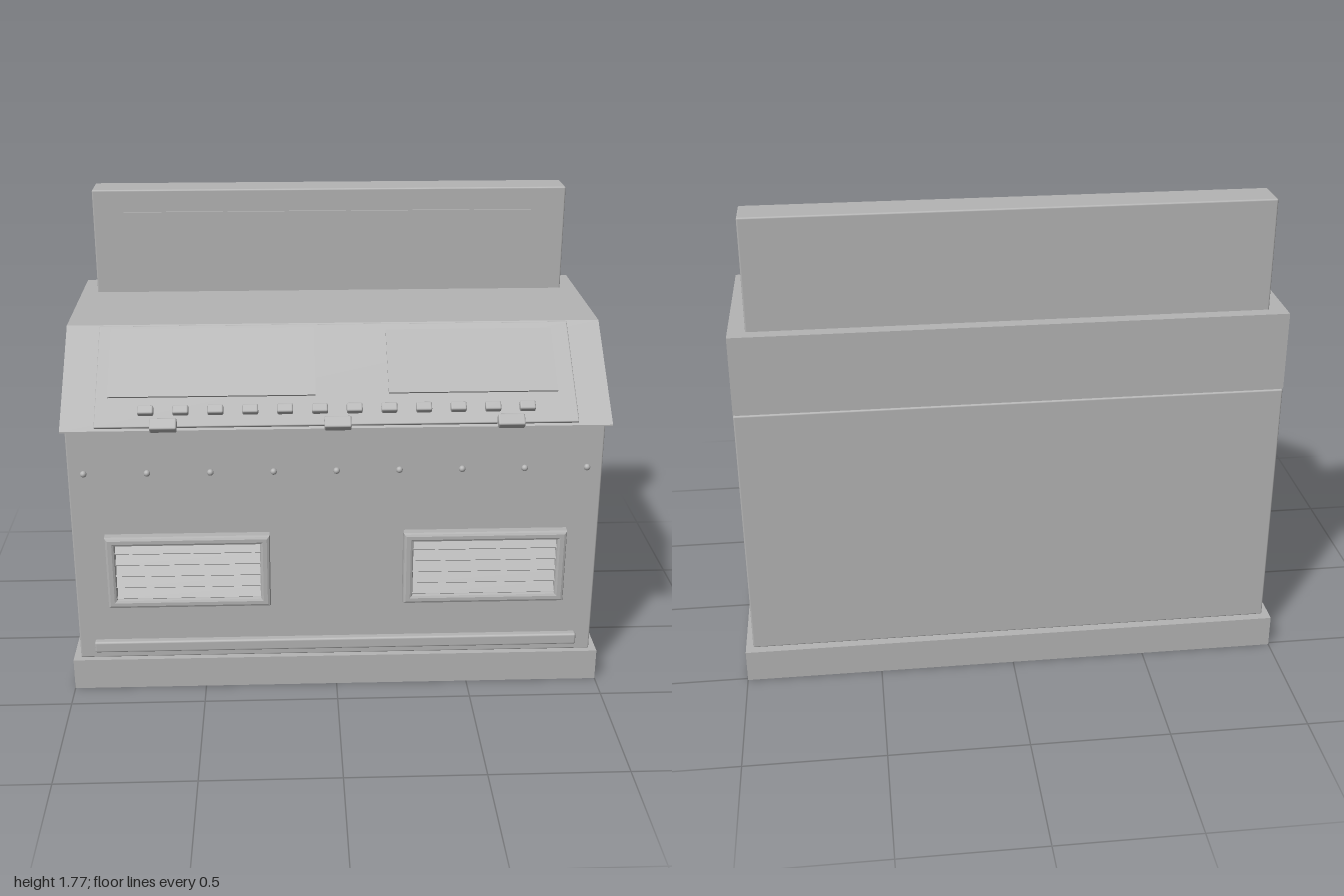
import * as THREE from 'three';
import { RoundedBoxGeometry } from 'three/addons/geometries/RoundedBoxGeometry.js';

export function createModel() {
  const root = new THREE.Group();
  root.name = 'controlConsole';
  const grey = new THREE.MeshStandardMaterial({ color: 0xb4b4b4, side: THREE.DoubleSide });
  grey.name = 'grey';

  const add = (geo, name, parent, x = 0, y = 0, z = 0) => {
    const mesh = new THREE.Mesh(geo, grey);
    mesh.name = name;
    mesh.position.set(x, y, z);
    parent.add(mesh);
    return mesh;
  };
  // Box given by its limits; r rounds the edges
  const box = (name, parent, x0, x1, y0, y1, z0, z1, r = 0) => {
    const s = [x1 - x0, y1 - y0, z1 - z0];
    const geo = r ? new RoundedBoxGeometry(...s, 2, r) : new THREE.BoxGeometry(...s);
    return add(geo, name, parent, (x0 + x1) / 2, (y0 + y1) / 2, (z0 + z1) / 2);
  };

  // Plinth: a shell that is open underneath
  const plinth = box('plinth', root, -1, 1, 0, 0.122, -0.51, 0.39);
  const index = Array.from(plinth.geometry.index.array);
  index.splice(18, 6);
  plinth.geometry.setIndex(index);
  plinth.geometry.clearGroups();

  // Cabinet with its lower trim and a row of bolts
  box('cabinet', root, -0.973, 0.973, 0.122, 1.08, -0.48, 0.37, 0.006);
  box('lowerTrim', root, -0.915, 0.915, 0.155, 0.2, 0.36, 0.395, 0.008);
  const boltGeo = new THREE.SphereGeometry(0.012, 12, 8);
  for (let i = 0; i < 9; i++) add(boltGeo, 'bolt', root, -0.915 + i * 0.22875, 0.885, 0.376);

  // Louvred vents
  const rect = (path, w, h) => path.moveTo(-w, -h).lineTo(w, -h).lineTo(w, h).lineTo(-w, h).closePath();
  const frameShape = rect(new THREE.Shape(), 0.292, 0.134);
  frameShape.holes.push(rect(new THREE.Path(), 0.277, 0.121));
  const frameGeo = new THREE.ExtrudeGeometry(frameShape, {
    depth: 0.028, bevelEnabled: true, bevelThickness: 0.012, bevelSize: 0.011, bevelSegments: 2,
  });
  const slatGeo = new THREE.BoxGeometry(0.55, 0.04, 0.012);
  for (const side of [-1, 1]) {
    const vent = new THREE.Group();
    vent.name = side < 0 ? 'rightVent' : 'leftVent';
    vent.position.set(side * 0.55, 0.495, 0.37);
    add(frameGeo, 'ventFrame', vent);
    for (let i = 0; i < 5; i++) {
      add(slatGeo, 'ventSlat', vent, 0, (i - 2) * 0.046, 0.017).rotation.x = -0.6;
    }
    root.add(vent);
  }

  // Sloping head: side profile extruded across the width
  const profile = new THREE.Shape();
  [[0.478, 1.085], [0.478, 1.09], [0.14, 1.372], [-0.48, 1.372], [-0.48, 1.085]]
    .forEach(([z, y], i) => (i ? profile.lineTo(-z, y) : profile.moveTo(-z, y)));
  const headGeo = new THREE.ExtrudeGeometry(profile, { depth: 1.946, bevelEnabled: false });
  headGeo.translate(0, 0, -0.973).rotateY(Math.PI / 2);
  add(headGeo, 'head', root);
  // Recessed seam between cabinet and head
  box('seam', root, -0.965, 0.965, 1.075, 1.09, -0.474, 0.362);

  // Control panel: local y runs up the slope, local z points out of it
  const panel = new THREE.Group();
  panel.name = 'controlPanel';
  panel.position.set(0, 1.087, 0.478);
  panel.rotation.x = -Math.atan2(0.338, 0.282);
  root.add(panel);
  box('panelPlate', panel, -0.853, 0.853, 0.012, 0.432, -0.005, 0.012, 0.004);
  box('rightScreen', panel, -0.81, -0.075, 0.13, 0.412, 0.01, 0.019);
  box('leftScreen', panel, 0.185, 0.79, 0.135, 0.4, 0.01, 0.019);
  const buttonGeo = new RoundedBoxGeometry(0.056, 0.034, 0.026, 2, 0.006);
  for (let i = 0; i < 12; i++) add(buttonGeo, 'button', panel, -0.674 + i * 0.1225, 0.073, 0.02);
  const latchGeo = new RoundedBoxGeometry(0.095, 0.045, 0.032, 2, 0.006);
  for (const x of [-0.61, 0, 0.61]) add(latchGeo, 'latch', panel, x, 0.01, 0.026);

  // Upright board with its display plate
  box('board', root, -0.912, 0.912, 1.365, 1.775, -0.433, -0.296, 0.006);
  box('boardDisplay', root, -0.795, 0.795, 1.45, 1.69, -0.295, -0.287);

  return root;
}
